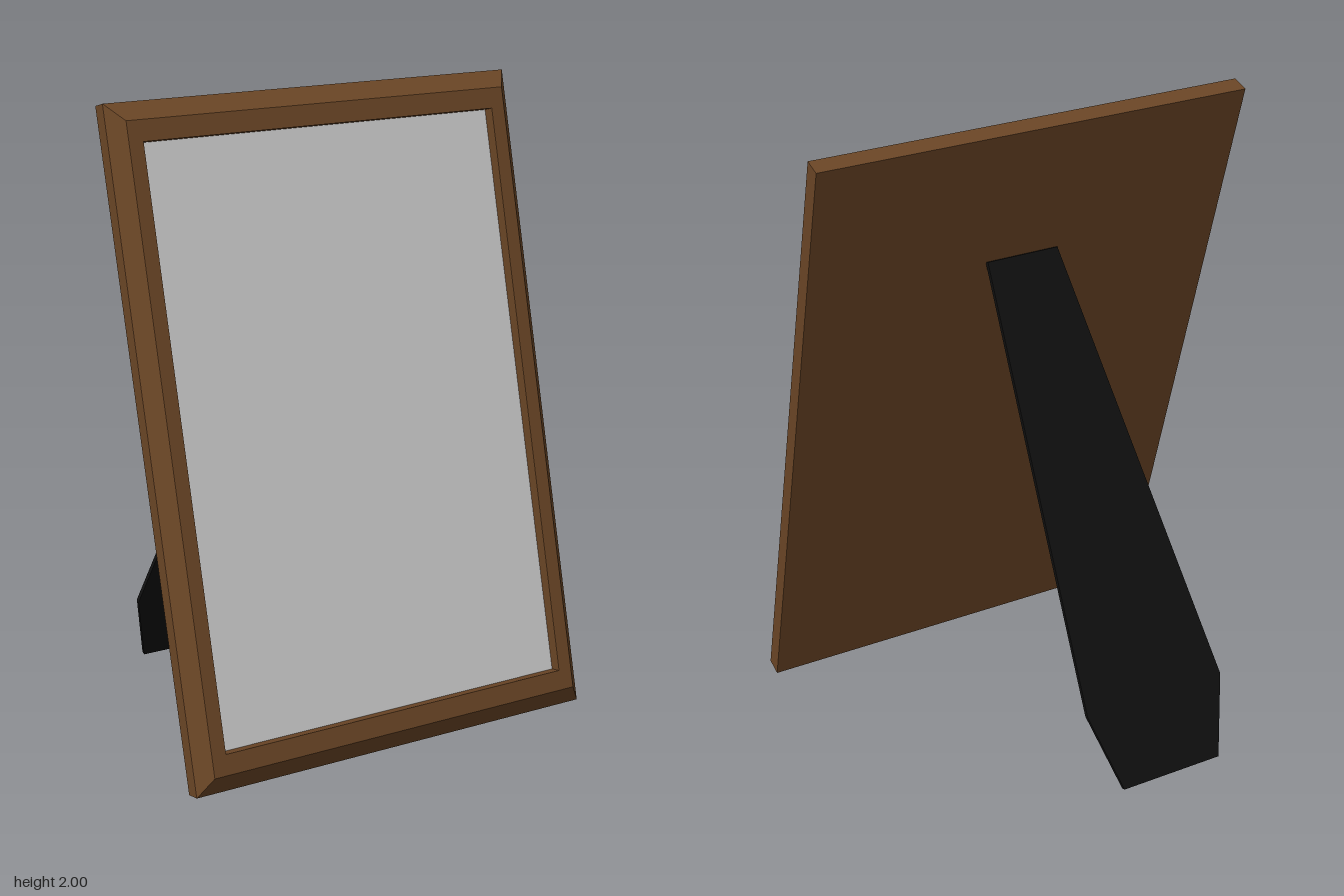
import * as THREE from 'three';

const WOOD = 0x6b4626, BLACK = 0x101010;
const W = 1.355, H = 2.035; // outer size of the frame

const material = (color) => new THREE.MeshStandardMaterial({ color, flatShading: true });

// Rectangle at depth z, inset dx from the sides and dy from top and bottom
function ring(dx, dy, z) {
  const x = W / 2 - dx, y = H / 2 - dy;
  return [[-x, -y, z], [x, -y, z], [x, y, z], [-x, y, z]];
}

// Mitred moulding: joins successive rectangles and closes the back
function mouldingGeometry(rings) {
  const pos = [];
  const quad = (a, b, c, d) => pos.push(...a, ...b, ...c, ...a, ...c, ...d);
  const [p, q, r, s] = rings[0];
  quad(s, r, q, p);
  for (let k = 0; k < rings.length - 1; k++) {
    for (let i = 0; i < 4; i++) {
      const j = (i + 1) % 4;
      quad(rings[k][i], rings[k][j], rings[k + 1][j], rings[k + 1][i]);
    }
  }
  const geo = new THREE.BufferGeometry();
  geo.setAttribute('position', new THREE.Float32BufferAttribute(pos, 3));
  geo.computeVertexNormals();
  return geo;
}

export function createModel() {
  const model = new THREE.Group();
  model.name = 'pictureFrame';

  // Everything is turned a little to the model's left
  const turned = new THREE.Group();
  turned.name = 'turnedFrame';
  turned.rotation.y = Math.atan(0.5);
  model.add(turned);

  // Panel leaning back; its origin is the middle of the back face
  const panel = new THREE.Group();
  panel.name = 'leaningPanel';
  panel.position.set(-0.027, 1.003, 0.023);
  panel.rotation.x = -THREE.MathUtils.degToRad(15);
  turned.add(panel);

  // Wooden moulding: side, chamfer, flat front, inner lip
  const glassZ = 0.069;
  const moulding = new THREE.Mesh(mouldingGeometry([
    ring(0, 0, 0),
    ring(0, 0, 0.056),
    ring(0.043, 0.058, 0.109),
    ring(0.088, 0.121, 0.109),
    ring(0.088, 0.121, glassZ),
  ]), material(WOOD));
  moulding.name = 'moulding';
  panel.add(moulding);

  // Picture pane
  const pane = new THREE.Mesh(new THREE.PlaneGeometry(W - 0.176, H - 0.242), material(0xcccccc));
  pane.name = 'picturePane';
  pane.position.z = glassZ;
  panel.add(pane);

  // Skewed easel leg: narrow at the hinge, wide shoulder, clipped foot
  const outline = [[-0.407, 0], [-0.065, 0], [0.017, 0.258], [0.085, 1.67], [-0.145, 1.67], [-0.46, 0.258]];
  const shape = new THREE.Shape(outline.map(([x, y]) => new THREE.Vector2(x, y)));
  const legGeo = new THREE.ExtrudeGeometry(shape, { depth: 0.015, bevelEnabled: false });
  legGeo.translate(0, 0, -0.015);
  const leg = new THREE.Mesh(legGeo, material(BLACK));
  leg.name = 'easelLeg';
  leg.position.z = -0.728;
  leg.rotation.x = THREE.MathUtils.degToRad(21.3);
  turned.add(leg);

  return model;
}
